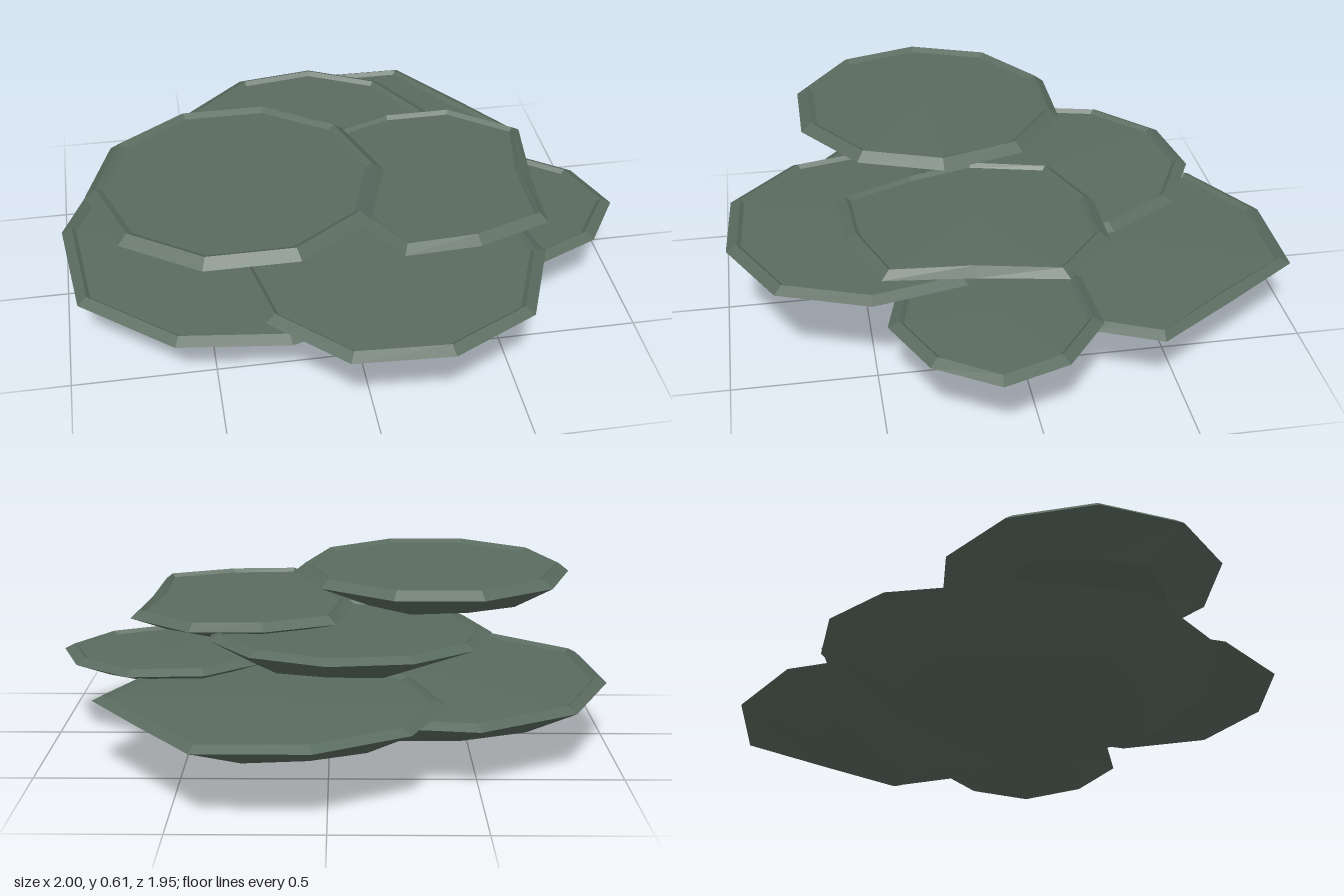
import * as THREE from 'three';

const material = new THREE.MeshStandardMaterial({ color: 0x5a6b5f, flatShading: true });
material.name = 'greyGreen';

// A many-sided oval plate with a raised lip, a sunken top and a faceted, pointed underside.
// centre and radius: [x, z]; phase: angle of the first corner in degrees; edge: height of the outer edge;
// tilt: rise per unit of z; lip: rise of the lip; wall: width of the step inside the lip; low: lowest point;
// mid: height of the underside's middle ring (0 = lowest point, 1 = edge); pull: how far that ring is drawn
// in to the lowest point; corners: radius factor by corner number
function makePlate(name, {
  centre, radius, sides, phase, edge, tilt = 0, lip = 0.02, wall = 0.015, low, mid, pull = 0.36, corners = {},
}) {
  const [cx, cz] = centre;

  // Ring of corners moved inward by a distance and raised above the edge
  const ring = (inset, rise) => Array.from({ length: sides }, (_, i) => {
    const angle = THREE.MathUtils.degToRad(phase + (360 * i) / sides);
    const factor = corners[i] ?? 1;
    const x = radius[0] * factor * Math.cos(angle);
    const z = radius[1] * factor * Math.sin(angle);
    const k = 1 - inset / Math.hypot(x, z);
    return new THREE.Vector3(cx + x * k, edge + tilt * z * k + rise, cz + z * k);
  });

  const bottom = new THREE.Vector3(...low);
  const top = new THREE.Vector3(cx, edge + lip - 0.01, cz);
  const rim = ring(0, 0);
  const under = rim.map((p, i) => {
    const q = p.clone().lerp(bottom, pull + (i % 2 ? 0.03 : -0.03));
    q.y = THREE.MathUtils.lerp(low[1], p.y, mid);
    return q;
  });
  const rings = [under, rim, ring(0.038, lip), ring(0.038 + wall, lip - 0.013)];
  const inner = rings[3];

  const points = [];
  for (let i = 0; i < sides; i++) {
    const j = (i + 1) % sides;
    points.push(bottom, under[i], under[j], top, inner[j], inner[i]);
    for (let r = 0; r < 3; r++) {
      const lower = rings[r], upper = rings[r + 1];
      points.push(lower[i], upper[i], lower[j], lower[j], upper[i], upper[j]);
    }
  }
  const geometry = new THREE.BufferGeometry().setFromPoints(points);
  geometry.computeVertexNormals();
  const mesh = new THREE.Mesh(geometry, material);
  mesh.name = name;
  return mesh;
}

export function createModel() {
  const group = new THREE.Group();
  group.name = 'stackedPlates';
  group.add(
    // Bottom layer
    makePlate('lowerLeftPlate', {
      centre: [-0.375, 0], radius: [0.63, 0.68], sides: 10, phase: 7,
      edge: 0.22, low: [-0.38, 0, 0], mid: 0.48, corners: { 0: 1.35, 1: 1.15, 4: 1.05, 9: 1.22 },
    }),
    makePlate('lowerBackPlate', {
      centre: [0.2, -0.45], radius: [0.6, 0.545], sides: 10, phase: 3,
      edge: 0.25, low: [0.07, 0.018, -0.37], mid: 0.5, pull: 0.44, corners: { 0: 1.01, 8: 1.03, 9: 0.83 },
    }),
    makePlate('lowerRightPlate', {
      centre: [0.6, 0.11], radius: [0.4, 0.36], sides: 9, phase: 6,
      edge: 0.283, tilt: 0.01, low: [0.57, 0.2, 0.1], mid: 0.35, corners: { 1: 0.96, 8: 0.95 },
    }),
    // Middle layer
    makePlate('frontPlate', {
      centre: [0.11, 0.46], radius: [0.53, 0.53], sides: 10, phase: 6,
      edge: 0.38, tilt: -0.01, low: [0, 0.275, 0.38], mid: 0.33, corners: { 1: 1.03, 3: 1.03 },
    }),
    makePlate('middleBackPlate', {
      centre: [-0.07, -0.19], radius: [0.5, 0.515], sides: 11, phase: -16,
      edge: 0.435, tilt: -0.025, low: [0, 0.27, -0.2], mid: 0.5,
    }),
    // Top layer
    makePlate('upperRightPlate', {
      centre: [0.31, 0.14], radius: [0.4, 0.45], sides: 10, phase: -30,
      edge: 0.472, tilt: 0.03, lip: 0.025, low: [0.35, 0.37, 0.1], mid: 0.4,
      corners: { 0: 1.15, 1: 0.9, 2: 1.14, 4: 1.1, 5: 0.91, 7: 1.12, 9: 1.07 },
    }),
    makePlate('topPlate', {
      centre: [-0.38, 0.21], radius: [0.51, 0.5], sides: 10, phase: 0,
      edge: 0.572, tilt: 0.02, lip: 0.03, wall: 0.025, low: [-0.42, 0.467, 0.2], mid: 0.12,
    }),
  );
  return group;
}
